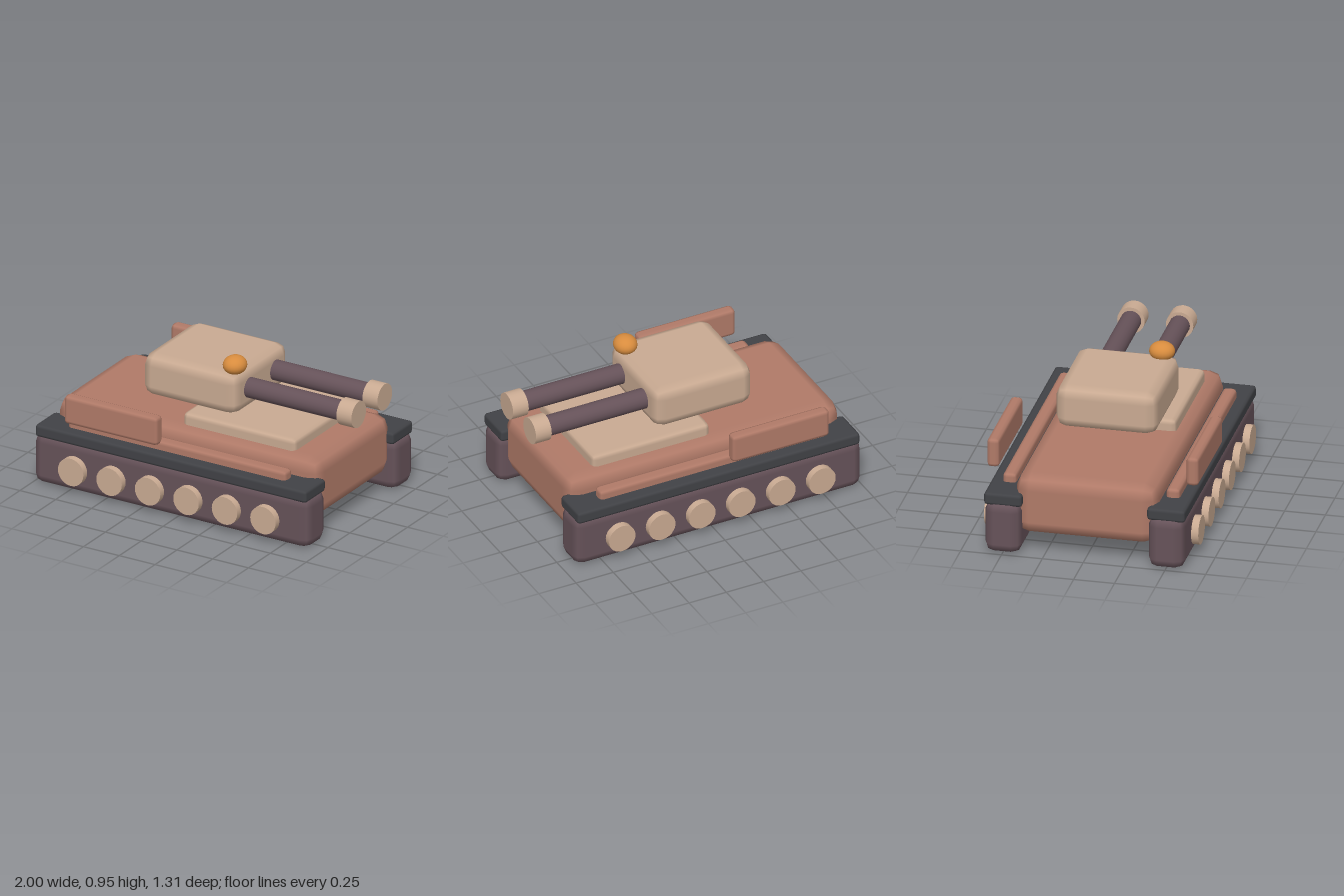
import * as THREE from 'three';
import { RoundedBoxGeometry } from 'three/addons/geometries/RoundedBoxGeometry.js';

const paint = (name, color) => {
  const m = new THREE.MeshStandardMaterial({ color });
  m.name = name;
  return m;
};

export function createModel() {
  const model = new THREE.Group();
  model.name = 'tank';

  const clay = paint('clay hull', 0xb07a68);
  const sand = paint('sand', 0xc9aa92);
  const plum = paint('dark plum', 0x665259);
  const charcoal = paint('charcoal', 0x414246);
  const amber = paint('amber', 0xd88c3e);

  const add = (name, geometry, material, x, y, z) => {
    const mesh = new THREE.Mesh(geometry, material);
    mesh.name = name;
    mesh.position.set(x, y, z);
    model.add(mesh);
    return mesh;
  };

  // Bevelled block given by its extents on each axis
  const block = (name, material, [x0, x1], [y0, y1], [z0, z1], bevel) =>
    add(name, new RoundedBoxGeometry(x1 - x0, y1 - y0, z1 - z0, 1, bevel), material,
      (x0 + x1) / 2, (y0 + y1) / 2, (z0 + z1) / 2);

  // Body
  block('hull', clay, [-0.955, 0.885], [0.115, 0.5], [-0.437, 0.437], 0.09);
  block('deckPlate', sand, [-0.105, 0.683], [0.44, 0.57], [-0.358, 0.358], 0.03);
  block('turret', sand, [-0.425, 0.237], [0.59, 0.862], [-0.313, 0.313], 0.07);

  // Running gear and side armour, mirrored across z
  for (const s of [1, -1]) {
    const side = s > 0 ? 'right' : 'left';
    const span = (a, b) => (s > 0 ? [a, b] : [-b, -a]);
    block(side + 'Track', plum, [-1, 0.927], [0, 0.33], span(0.388, 0.612), 0.06);
    block(side + 'Fender', charcoal, [-0.98, 0.915], [0.306, 0.385], span(0.382, 0.616), 0.02);
    block(side + 'FenderRail', clay, [-0.795, 0.727], [0.36, 0.44], span(0.458, 0.542), 0.024);
    block(side + 'SidePlate', clay, [-0.76, -0.108], [0.453, 0.637], span(0.572, 0.648), 0.025);

    // Road wheels
    for (let i = 0; i < 6; i++) {
      const wheel = add(side + 'Wheel', new THREE.CylinderGeometry(0.089, 0.089, 0.1, 24), sand,
        -0.703 + i * 0.2687, 0.152, s * 0.606);
      wheel.rotation.x = Math.PI / 2;
    }

    // Gun barrel and muzzle
    const barrel = add(side + 'Barrel', new THREE.CylinderGeometry(0.063, 0.063, 0.8, 20), plum,
      0.52, 0.735, s * 0.149);
    const muzzle = add(side + 'Muzzle', new THREE.CylinderGeometry(0.084, 0.084, 0.105, 24), sand,
      0.9475, 0.735, s * 0.149);
    barrel.rotation.z = muzzle.rotation.z = -Math.PI / 2;
  }

  // Domed light on the turret roof
  const dome = add('roofDome', new THREE.SphereGeometry(1, 24, 16), amber, 0.173, 0.892, 0.21);
  dome.scale.set(0.072, 0.058, 0.078);

  return model;
}
